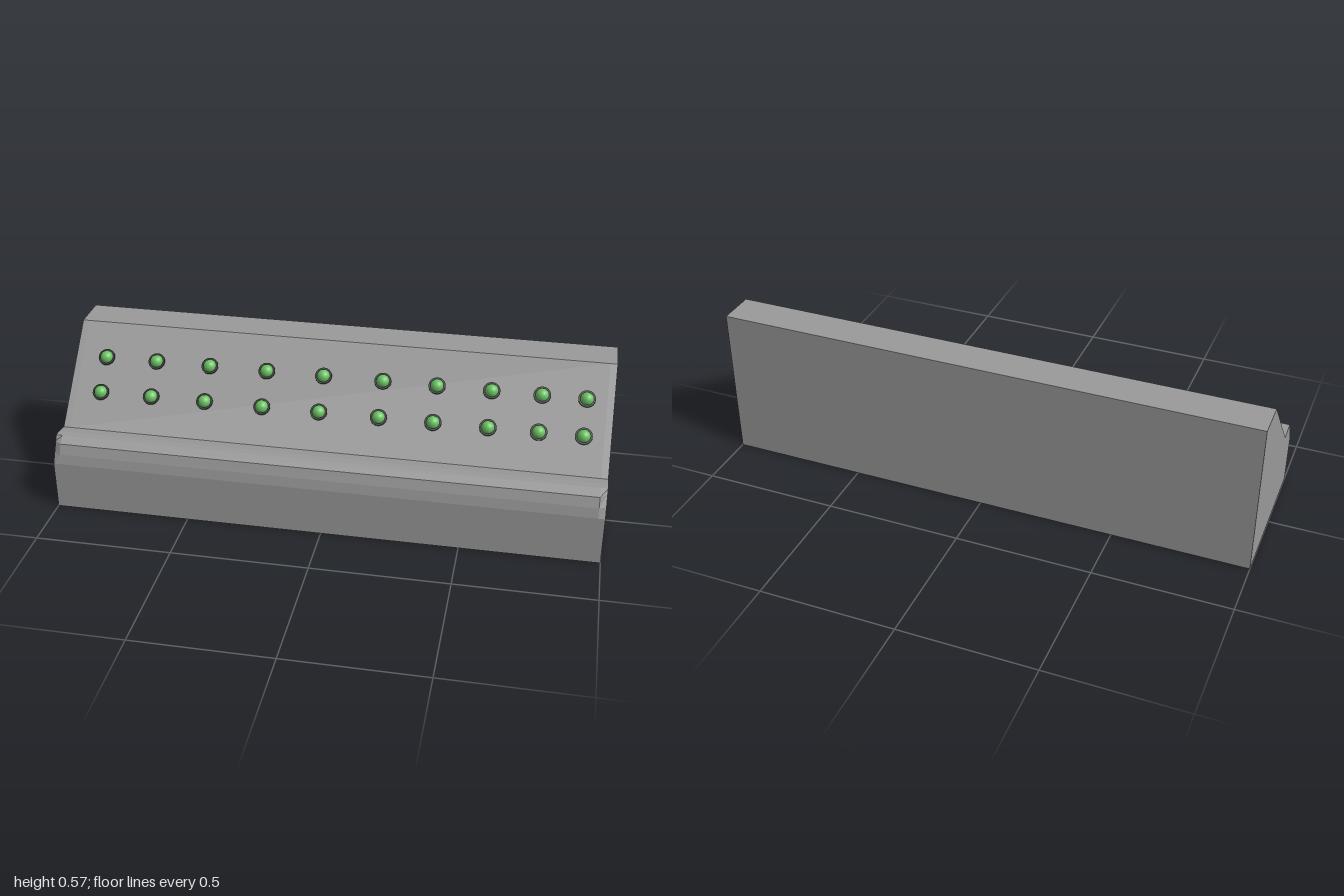
import * as THREE from 'three';

const grey = new THREE.MeshStandardMaterial({ color: 0x999999 });
const green = new THREE.MeshStandardMaterial({ color: 0x6ac062 });
const dark = new THREE.MeshStandardMaterial({ color: 0x383838 });

// Sloped console body: a side profile run along x, with a rounded front lip
// that is bevelled off to a straight chamfer at both ends.
function createBody() {
  const profile = [ // [z, y]
    [-0.28, 0], [0.28, 0], [0.28, 0.183], [0.2595, 0.22], [0.239, 0.257],
    [0.228, 0.276], [0.2, 0.276], [0.153, 0.268], [-0.14, 0.572], [-0.28, 0.572],
  ];
  const shape = new THREE.Shape(profile.map(([z, y]) => new THREE.Vector2(z, y)));
  const geometry = new THREE.ExtrudeGeometry(shape, { depth: 2, steps: 3, bevelEnabled: false });
  geometry.translate(0, 0, -1);

  // Move the two inner rings close to the ends and bulge the lip there
  const pos = geometry.attributes.position;
  for (let i = 0; i < pos.count; i++) {
    const along = pos.getZ(i);
    if (Math.abs(along) > 0.9) continue;
    pos.setZ(i, Math.sign(along) * 0.975);
    if (Math.abs(pos.getY(i) - 0.22) < 0.001) pos.setX(i, 0.273);
    if (Math.abs(pos.getY(i) - 0.257) < 0.001) pos.setX(i, 0.26);
  }
  geometry.rotateY(-Math.PI / 2);
  geometry.computeVertexNormals();
  const body = new THREE.Mesh(geometry, grey);
  body.name = 'consoleBody';
  return body;
}

export function createModel() {
  const model = new THREE.Group();
  model.name = 'slopedButtonConsole';
  model.add(createBody());

  // Two rows of half-round buttons with dark bezels on the slope
  const domeGeometry = new THREE.SphereGeometry(0.0245, 24, 10, 0, Math.PI * 2, 0, Math.PI / 2);
  const bezelGeometry = new THREE.CylinderGeometry(0.031, 0.031, 0.006, 28);
  const columns = [-0.88, -0.685, -0.48, -0.263, -0.05, 0.17, 0.368, 0.565, 0.745, 0.903];
  const rows = [{ y: 0.375, z: 0.054 }, { y: 0.475, z: -0.039 }];
  for (const { y, z } of rows) {
    for (const x of columns) {
      const button = new THREE.Group();
      button.name = 'button';
      const dome = new THREE.Mesh(domeGeometry, green);
      dome.name = 'buttonDome';
      const bezel = new THREE.Mesh(bezelGeometry, dark);
      bezel.name = 'buttonBezel';
      button.add(dome, bezel);
      button.position.set(x, y, z);
      button.rotation.x = Math.PI / 4;
      model.add(button);
    }
  }
  return model;
}
